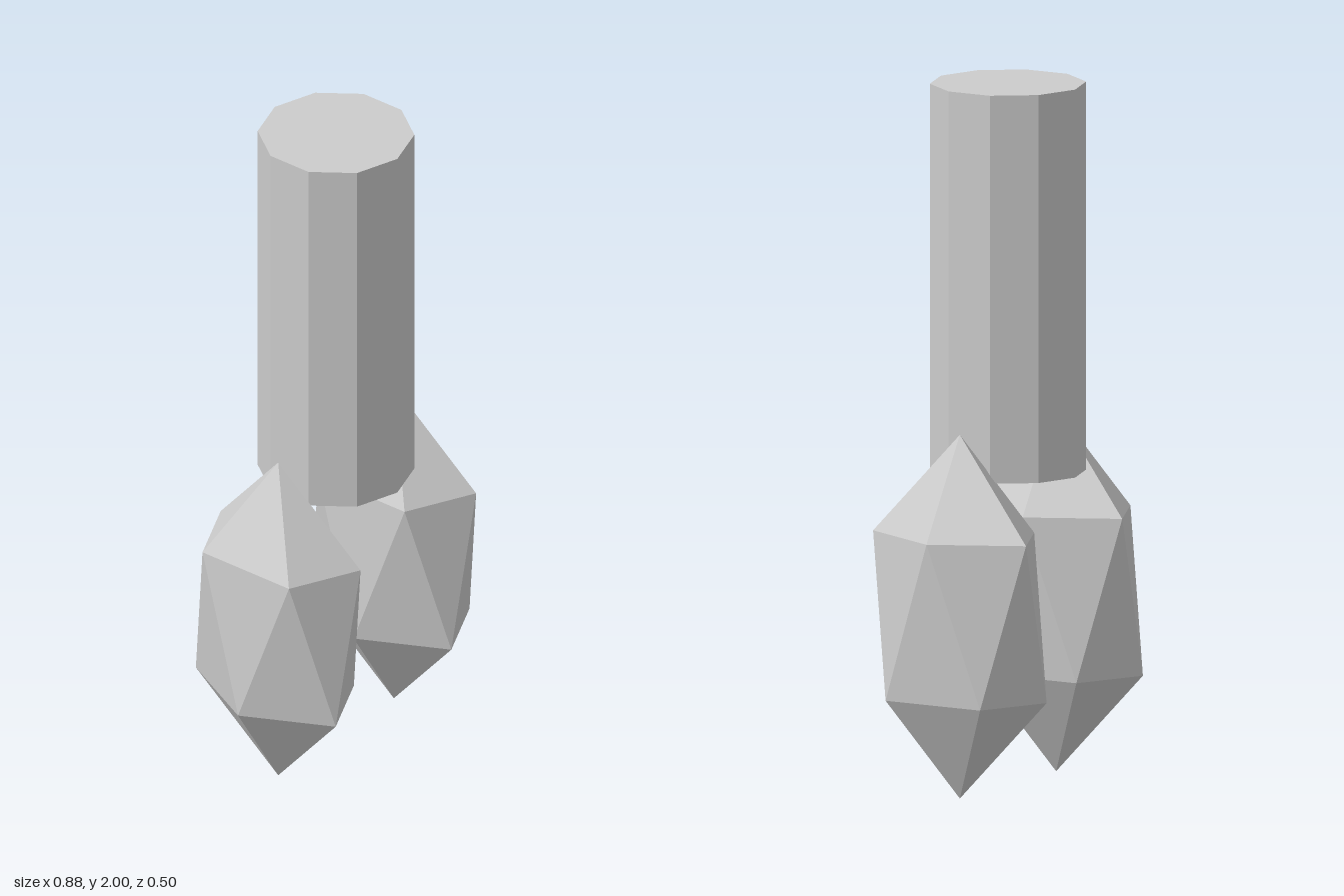
import * as THREE from 'three';

const material = new THREE.MeshStandardMaterial({ color: 0xcccccc, flatShading: true });

// Stretched twenty-sided pod: two tips and two staggered rings of five points
function podGeometry(rx, ry, rz) {
  const ringRadius = 2 / Math.sqrt(5), ringHeight = 1 / Math.sqrt(5);
  const ringPoint = (step, y) => {
    const a = step * Math.PI * 2 / 5;
    return [rx * ringRadius * Math.cos(a), ry * y, rz * ringRadius * Math.sin(a)];
  };
  const top = [0, ry, 0], bottom = [0, -ry, 0];
  const positions = [];
  for (let i = 0; i < 5; i++) {
    const u0 = ringPoint(i, ringHeight), u1 = ringPoint(i + 1, ringHeight);
    const l0 = ringPoint(i + 0.5, -ringHeight), l1 = ringPoint(i + 1.5, -ringHeight);
    positions.push(
      ...top, ...u1, ...u0,
      ...u0, ...u1, ...l0,
      ...l0, ...u1, ...l1,
      ...bottom, ...l0, ...l1
    );
  }
  const geometry = new THREE.BufferGeometry();
  geometry.setAttribute('position', new THREE.Float32BufferAttribute(positions, 3));
  geometry.computeVertexNormals();
  return geometry;
}

export function createModel() {
  const model = new THREE.Group();
  model.name = 'shaftWithPods';

  // Ten-sided upright shaft, with a corner facing front
  const shaft = new THREE.Mesh(new THREE.CylinderGeometry(0.22, 0.22, 1.105, 10), material);
  shaft.name = 'shaft';
  shaft.position.y = 1.4475;
  model.add(shaft);

  // Pair of pods, both turned the same way
  const geometry = podGeometry(0.202, 0.518, 0.295);
  for (const [name, x] of [['leftPod', 0.26], ['rightPod', -0.26]]) {
    const pod = new THREE.Mesh(geometry, material);
    pod.name = name;
    pod.position.set(x, 0.518, 0);
    model.add(pod);
  }
  return model;
}
